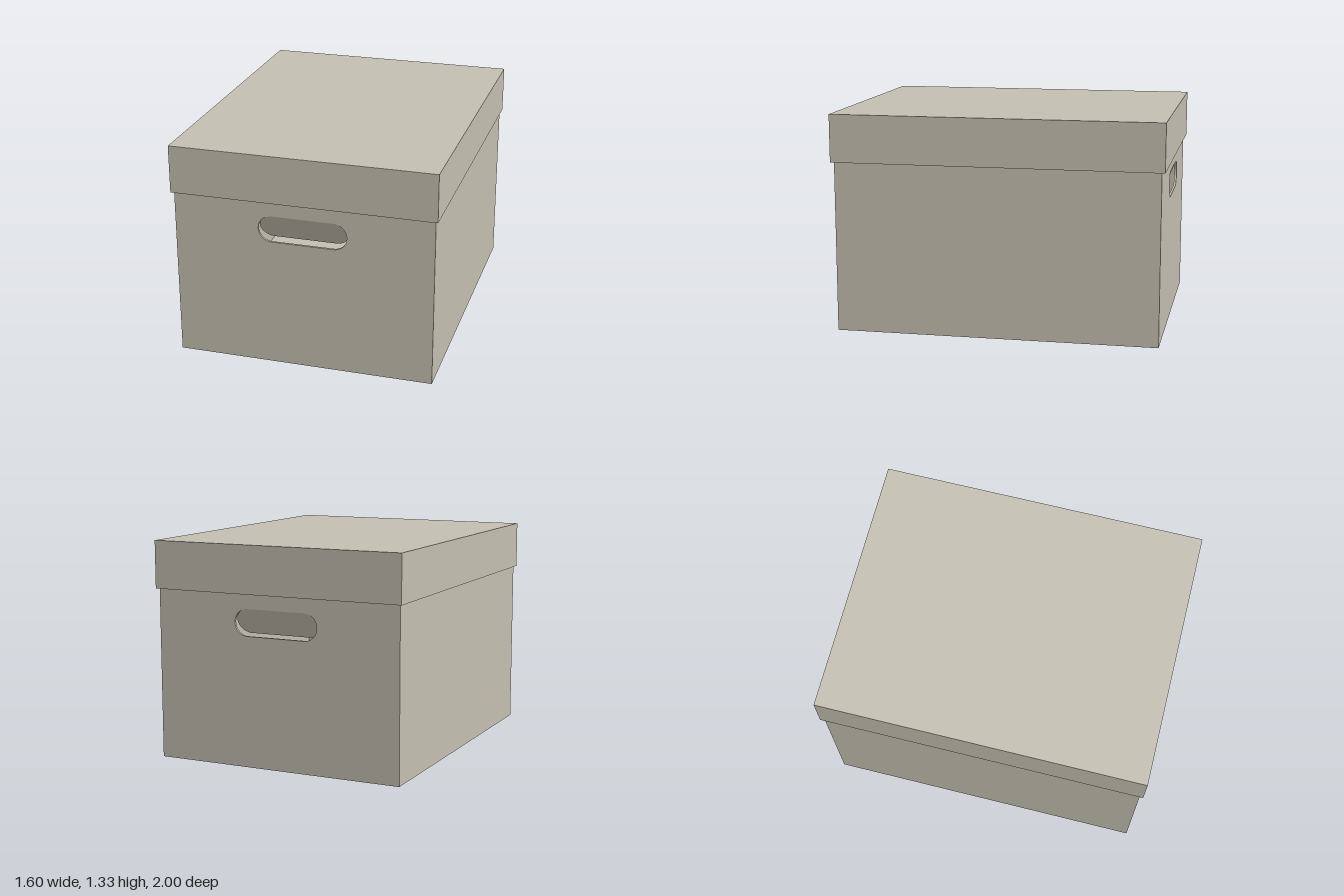
import * as THREE from 'three';

const WALL = 0.014;                      // cardboard thickness
const BOX = { x: 0.785, z: 0.98, top: 1.31 };
const LID = { x: 0.8, z: 1.0, bottom: 1.04, top: 1.33 };
const HANDLE = { halfWidth: 0.268, radius: 0.081, top: 0.952 };
const FLAP_TILT = THREE.MathUtils.degToRad(22);

// Rounded slot outline whose top edge lies on y = topY
function slot(target, topY) {
  const { halfWidth, radius } = HANDLE;
  const c = halfWidth - radius, y = topY - radius;
  target.moveTo(-c, y - radius);
  target.lineTo(c, y - radius);
  target.absarc(c, y, radius, -Math.PI / 2, Math.PI / 2, false);
  target.lineTo(-c, y + radius);
  target.absarc(-c, y, radius, Math.PI / 2, Math.PI * 1.5, false);
  return target;
}

export function createModel() {
  const model = new THREE.Group();
  model.name = 'storageBox';
  const cardboard = new THREE.MeshStandardMaterial({ color: 0xc4bfb1 });
  cardboard.name = 'cardboard';

  const add = (parent, name, geometry, x = 0, y = 0, z = 0) => {
    const mesh = new THREE.Mesh(geometry, cardboard);
    mesh.name = name;
    mesh.position.set(x, y, z);
    parent.add(mesh);
    return mesh;
  };
  const extrude = (shape) =>
    new THREE.ExtrudeGeometry(shape, { depth: WALL, bevelEnabled: false, curveSegments: 16 });

  // Box floor and side walls
  const body = new THREE.Group();
  body.name = 'boxBody';
  model.add(body);
  const innerZ = (BOX.z - WALL) * 2;
  add(body, 'floor', new THREE.BoxGeometry((BOX.x - WALL) * 2, WALL, innerZ), 0, WALL / 2, 0);
  for (const s of [1, -1]) {
    add(body, s > 0 ? 'leftWall' : 'rightWall',
      new THREE.BoxGeometry(WALL, BOX.top, innerZ), s * (BOX.x - WALL / 2), BOX.top / 2, 0);
  }

  // End walls with a handle hole and its pushed-in flap
  const wallShape = new THREE.Shape();
  wallShape.moveTo(-BOX.x, 0);
  wallShape.lineTo(BOX.x, 0);
  wallShape.lineTo(BOX.x, BOX.top);
  wallShape.lineTo(-BOX.x, BOX.top);
  wallShape.closePath();
  wallShape.holes.push(slot(new THREE.Path(), HANDLE.top));
  const wallGeometry = extrude(wallShape);
  const flapGeometry = extrude(slot(new THREE.Shape(), 0)).translate(0, 0, -WALL);
  for (const side of ['front', 'back']) {
    const end = new THREE.Group();
    end.name = side + 'End';
    if (side === 'back') end.rotation.y = Math.PI;
    add(end, side + 'Wall', wallGeometry, 0, 0, BOX.z - WALL);
    add(end, side + 'HandleFlap', flapGeometry, 0, HANDLE.top, BOX.z - 0.001).rotation.x = FLAP_TILT;
    body.add(end);
  }

  // Lid: top panel and four skirt walls
  const lid = new THREE.Group();
  lid.name = 'lid';
  model.add(lid);
  const skirt = 0.01;
  const height = LID.top - LID.bottom;
  const midY = (LID.top + LID.bottom) / 2;
  add(lid, 'lidTop',
    new THREE.BoxGeometry((LID.x - skirt) * 2, 0.02, (LID.z - skirt) * 2), 0, LID.top - 0.01, 0);
  for (const s of [1, -1]) {
    add(lid, s > 0 ? 'lidLeft' : 'lidRight',
      new THREE.BoxGeometry(skirt, height, (LID.z - skirt) * 2), s * (LID.x - skirt / 2), midY, 0);
    add(lid, s > 0 ? 'lidFront' : 'lidBack',
      new THREE.BoxGeometry(LID.x * 2, height, skirt), 0, midY, s * (LID.z - skirt / 2));
  }
  return model;
}
